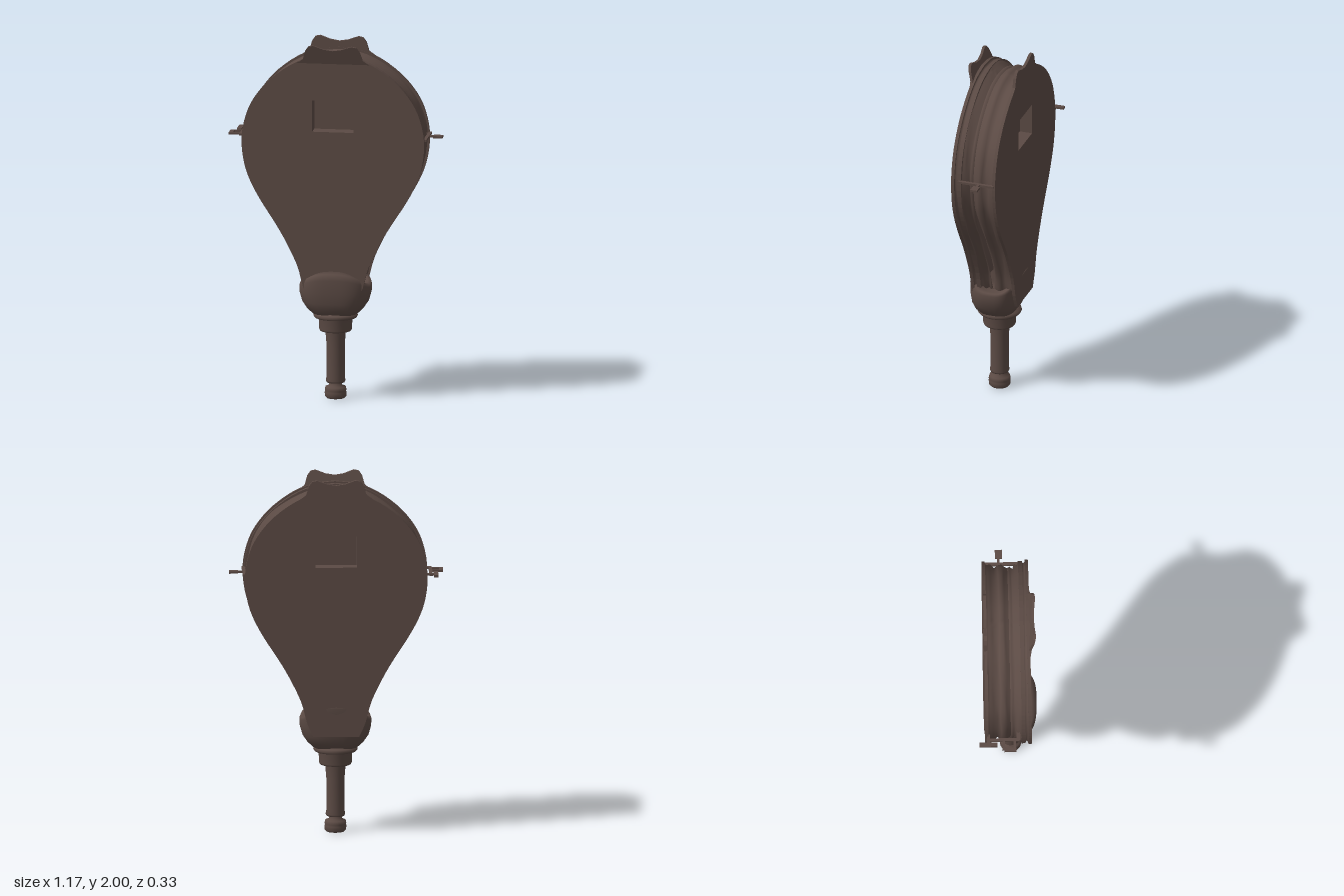
import * as THREE from 'three';

const wood = new THREE.MeshStandardMaterial({ color: 0x5b4a44, side: THREE.DoubleSide });
wood.name = 'dark brown';

// Right half of the pear-shaped outline, bottom to top
const side = new THREE.SplineCurve([
  [0.13, 0.56], [0.165, 0.64], [0.198, 0.76], [0.265, 0.9], [0.33, 1.01], [0.395, 1.11], [0.455, 1.22],
  [0.49, 1.32], [0.505, 1.43], [0.498, 1.53], [0.465, 1.64], [0.41, 1.73], [0.335, 1.81],
  [0.23, 1.885], [0.12, 1.93], [0, 1.945],
].map(p => new THREE.Vector2(...p)));

// Closed outline, moved inwards along its normal
function outline(inset = 0, n = 44) {
  const right = [];
  for (let i = 0; i <= n; i++) {
    const p = side.getPoint(i / n), t = side.getTangent(i / n);
    right.push(new THREE.Vector2(i === n ? 0 : p.x - t.y * inset, p.y + t.x * inset));
  }
  return [...right, ...right.slice(0, -1).reverse().map(p => new THREE.Vector2(-p.x, p.y))];
}

function add(group, name, geometry, x = 0, y = 0, z = 0) {
  const m = new THREE.Mesh(geometry, wood);
  m.name = name;
  m.position.set(x, y, z);
  group.add(m);
  return m;
}

function rect(w, h, cy, Type = THREE.Shape) {
  return new Type([[-w, -h], [w, -h], [w, h], [-w, h]].map(([x, y]) => new THREE.Vector2(x, cy + y)));
}

const extrude = (shape, depth) => new THREE.ExtrudeGeometry(shape, { depth, bevelEnabled: false });

// Flat board with the square opening
function board(inset, depth) {
  const s = new THREE.Shape(outline(inset));
  s.holes.push(rect(0.114, 0.088, 1.6, THREE.Path));
  return extrude(s, depth);
}

// Surface through rows of [x, y, z] points
function loft(rows, closed) {
  const n = rows[0].length, pos = rows.flat(2), idx = [];
  for (let r = 0; r < rows.length - 1; r++) {
    for (let i = 0; i < (closed ? n : n - 1); i++) {
      const a = r * n + i, b = r * n + (i + 1) % n;
      idx.push(a, a + n, b, b, a + n, b + n);
    }
  }
  const g = new THREE.BufferGeometry();
  g.setAttribute('position', new THREE.Float32BufferAttribute(pos, 3));
  g.setIndex(idx);
  g.computeVertexNormals();
  return g;
}

// Half-width of the slit between the two halves of the leather
function slit(y) {
  const t = THREE.MathUtils.clamp((y - 0.64) / 0.64, 0, 1);
  return 0.014 * Math.pow(Math.sin(Math.PI * Math.pow(t, 0.75)), 0.7);
}

// Pleated leather: profile of [z, inset], the last point lies on the slit
function pleats(profile, dir) {
  const rows = profile.map(([z, inset], k) => outline(inset, 80).map(p => {
    const last = k === profile.length - 1;
    const ripple = 0.003 * Math.sin(p.y * 19 + k * 2.1 + p.x * 7);
    return [p.x, p.y, last ? 0.004 + dir * slit(p.y) : z + ripple];
  }));
  return loft(rows, false);
}

// Two raised ears at the top edge
function ears() {
  const half = [[0.2, 1.895], [0.165, 1.92], [0.15, 1.97], [0.132, 1.995], [0.105, 2], [0.05, 1.98], [0, 1.972]];
  const left = half.slice(0, -1).reverse().map(([x, y]) => [-x, y]);
  return new THREE.Shape([...half, ...left].map(p => new THREE.Vector2(...p)));
}

export function createModel() {
  const model = new THREE.Group();
  model.name = 'bellows';

  // Boards
  add(model, 'frontBoard', board(0, 0.018), 0, 0, 0.1);
  add(model, 'innerFrontBoard', board(0.006, 0.022), 0, 0, 0.063);
  add(model, 'backBoard', board(0.005, 0.017), 0, 0, -0.135);

  // Ears, the front pair leaning forwards
  add(model, 'backEars', extrude(ears(), 0.016), 0, 0, -0.135);
  const lip = extrude(ears(), 0.014), p = lip.attributes.position;
  for (let i = 0; i < p.count; i++) p.setZ(i, p.getZ(i) + (p.getY(i) - 1.895) * 0.3);
  lip.computeVertexNormals();
  add(model, 'frontLip', lip, 0, 0, 0.104);

  // Recesses behind the square openings
  for (const [name, z, floorZ] of [['frontRecess', 0.035, 0.035], ['backRecess', -0.134, -0.06]]) {
    const frame = rect(0.12, 0.094, 1.6);
    frame.holes.push(rect(0.114, 0.088, 1.6, THREE.Path));
    add(model, name + 'Walls', extrude(frame, 0.08), 0, 0, z);
    add(model, name + 'Floor', new THREE.BoxGeometry(0.236, 0.184, 0.008), 0, 1.6, floorZ);
  }

  // Leather
  add(model, 'frontPleats', pleats([[0.104, 0.008], [0.093, 0.02], [0.084, 0.012], [0.066, 0.01],
    [0.058, 0.03], [0.043, 0.022], [0.03, 0.05], [0.018, 0.036], [0, 0.046]], 1));
  add(model, 'backPleats', pleats([[-0.125, 0.01], [-0.108, 0.026], [-0.09, 0.022], [-0.07, 0.044],
    [-0.05, 0.03], [-0.03, 0.024], [-0.015, 0.036], [0, 0.046]], -1));

  // Socket holding the lower end: rows of [y, half width, front z, back z, rise at front and back]
  const rows = [[0.47, 0.1, 0.09, -0.07, 0], [0.482, 0.125, 0.115, -0.085, 0], [0.51, 0.155, 0.135, -0.105, 0],
    [0.55, 0.182, 0.148, -0.122, 0], [0.6, 0.196, 0.155, -0.13, 0.01], [0.635, 0.197, 0.156, -0.135, 0.05],
    [0.65, 0.192, 0.148, -0.137, 0.07], [0.65, 0.172, 0.118, -0.134, 0.08], [0.64, 0, 0.01, 0, 0]];
  add(model, 'socket', loft(rows.map(([y, w, f, b, rise]) => Array.from({ length: 48 }, (_, i) => {
    const a = i / 48 * Math.PI * 2, c = Math.cos(a), s = Math.sin(a);
    const pw = v => Math.sign(v) * Math.pow(Math.abs(v), 0.72);
    return [w * pw(c), y + rise * s * s, (f + b) / 2 + (f - b) / 2 * pw(s)];
  })), true));

  // Nozzle sections, each a turned profile of [radius, y]
  const turned = (name, pts) => add(model, name,
    new THREE.LatheGeometry(pts.map(q => new THREE.Vector2(...q)), 32), 0, 0, 0.013);
  turned('nozzleTip', [[0, 0], [0.05, 0.002], [0.059, 0.012], [0.06, 0.035], [0.055, 0.04],
    [0.06, 0.046], [0.056, 0.064], [0.036, 0.072], [0.034, 0.095]]);
  turned('nozzlePipe', [[0, 0.088], [0.05, 0.09], [0.054, 0.1], [0.05, 0.12], [0.05, 0.3], [0.057, 0.385]]);
  turned('ferrule', [[0.05, 0.378], [0.085, 0.38], [0.09, 0.39], [0.092, 0.45], [0.1, 0.458]]);
  turned('collar', [[0.09, 0.452], [0.115, 0.455], [0.122, 0.465], [0.118, 0.478], [0.1, 0.488]]);

  // Side clasps: boxes of [x, z, width, depth]
  const clasp = (name, y, parts) => {
    const g = new THREE.Group();
    g.name = name;
    parts.forEach(([x, z, w, d]) => add(g, name + 'Bar', new THREE.BoxGeometry(w, 0.012, d), x, y, z));
    model.add(g);
  };
  clasp('leftClasp', 1.472, [[0.503, -0.025, 0.018, 0.21], [0.488, 0.07, 0.04, 0.014],
    [0.488, -0.12, 0.04, 0.014], [0.525, -0.042, 0.04, 0.014], [0.56, -0.04, 0.05, 0.04]]);
  clasp('rightClasp', 1.468, [[-0.52, -0.04, 0.018, 0.18], [-0.5, 0.045, 0.05, 0.02], [-0.5, -0.12, 0.07, 0.016],
    [-0.547, -0.12, 0.025, 0.1], [-0.578, 0, 0.022, 0.066], [-0.55, 0.024, 0.06, 0.014], [-0.55, -0.036, 0.06, 0.014]]);
  return model;
}
